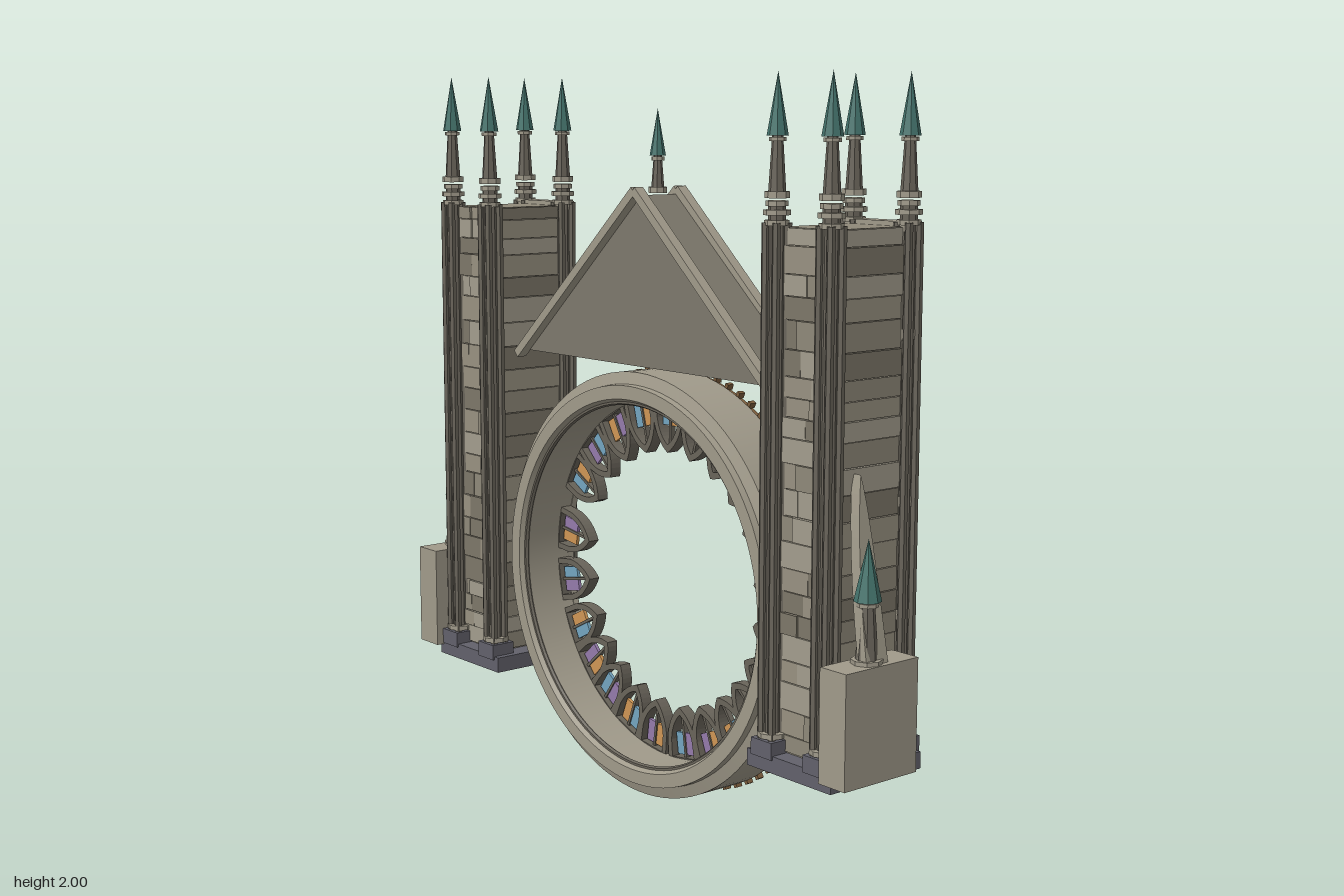
import * as THREE from 'three';
import { toCreasedNormals } from 'three/addons/utils/BufferGeometryUtils.js';

const paint = (color, extra = {}) => new THREE.MeshStandardMaterial({ color, flatShading: true, ...extra });
const STONES = [paint(0xa39d8d), paint(0x8f8979), paint(0x7d7769), paint(0x989181)];
const PALE = paint(0xa09a8a);
const RING = new THREE.MeshStandardMaterial({ color: 0xa09a8a });
const DARK = paint(0x69645a);
const GABLE = paint(0x7d786c);
const SLATE = paint(0x62616b);
const COPPER = paint(0x44736c);
const WOOD = paint(0x7a5c3c);
const VOID = paint(0x3b3d42);
const GLASS = [paint(0x74a5c0), paint(0xcf9655), paint(0x957bab)];

let seed = 7;
const rnd = () => (seed = (seed * 16807) % 2147483647) / 2147483647;

function add(parent, name, geo, mat, x = 0, y = 0, z = 0) {
  const m = new THREE.Mesh(geo, mat);
  m.name = name;
  m.position.set(x, y, z);
  parent.add(m);
  return m;
}

// Box given by its minimum and maximum corners
function block(parent, name, mat, x0, x1, y0, y1, z0, z1) {
  const geo = new THREE.BoxGeometry(Math.abs(x1 - x0), y1 - y0, Math.abs(z1 - z0));
  return add(parent, name, geo, mat, (x0 + x1) / 2, (y0 + y1) / 2, (z0 + z1) / 2);
}

const drum = (r0, r1, h, n = 8) => new THREE.CylinderGeometry(r1, r0, h, n);

// Tapered stone stem with a copper spike
function pinnacle(parent, x, y, z, stem, spike, r) {
  const g = new THREE.Group();
  g.name = 'pinnacle';
  g.position.set(x, y, z);
  add(g, 'pinnacleFoot', drum(r * 1.15, r * 1.15, 0.016), PALE, 0, 0.008, 0);
  add(g, 'pinnacleStem', drum(r * 0.85, r * 0.5, stem), DARK, 0, stem / 2, 0);
  add(g, 'pinnacleCollar', drum(r * 0.8, r * 0.8, 0.01), PALE, 0, stem - 0.008, 0);
  add(g, 'pinnacleSpike', new THREE.ConeGeometry(r, spike, 8), COPPER, 0, stem + spike / 2, 0);
  parent.add(g);
}

// Clustered corner shaft with base, rings and pinnacle
function cornerShaft(parent, x, z) {
  const g = new THREE.Group();
  g.name = 'cornerShaft';
  g.position.set(x, 0, z);
  block(g, 'shaftPlinth', SLATE, -0.038, 0.038, 0.285, 0.33, -0.038, 0.038);
  add(g, 'shaftCore', drum(0.022, 0.022, 1.36), DARK, 0, 1.0, 0);
  for (let i = 0; i < 4; i++) {
    const a = Math.PI / 4 + i * Math.PI / 2;
    add(g, 'colonnette', drum(0.011, 0.011, 1.31, 6), DARK, 0.027 * Math.cos(a), 0.98, 0.027 * Math.sin(a));
  }
  for (const [y, r] of [[0.34, 0.038], [1.635, 0.031], [1.66, 0.034], [1.682, 0.028]])
    add(g, 'shaftRing', drum(r, r, 0.013), PALE, 0, y, 0);
  parent.add(g);
  pinnacle(parent, x, 1.695, z, 0.15, 0.155, 0.027);
}

function tower(s) {
  const g = new THREE.Group();
  g.name = s > 0 ? 'leftTower' : 'rightTower';
  const X = 0.705 * s, zF = 0.115, zB = -0.135, top = 1.625;
  block(g, 'towerBase', SLATE, X - 0.152, X + 0.152, 0.25, 0.295, zB - 0.03, zF + 0.04);
  block(g, 'towerCore', STONES[1], X - 0.09, X + 0.09, 0.29, top, zB + 0.012, zF - 0.01);

  // Uneven stone courses on the front and both sides
  let y = 0.3;
  while (y < top - 0.01) {
    const y1 = Math.min(top, y + 0.045 + 0.03 * rnd());
    const split = (rnd() - 0.5) * 0.1;
    for (const [a, b] of [[-0.085, split], [split, 0.085]])
      block(g, 'frontStone', STONES[Math.floor(rnd() * 4)], X + a, X + b, y, y1 - 0.002, zF - 0.02, zF - 0.006 + 0.008 * rnd());
    for (const side of [-1, 1])
      block(g, 'sideCourse', STONES[Math.floor(rnd() * 4)], X + side * 0.08, X + side * (0.096 + 0.006 * rnd()), y, y1 - 0.002, zB + 0.015, zF - 0.012);
    y = y1;
  }

  // Back: four tiers of paired lancet openings between string courses
  const tiers = [0.33, 0.65, 0.94, 1.36, top];
  for (let i = 0; i < 4; i++) {
    const y0 = tiers[i] + 0.03, y1 = tiers[i + 1] - 0.02;
    block(g, 'windowRecess', VOID, X - 0.065, X + 0.065, y0, y1, zB + 0.015, zB + 0.004);
    for (const dx of [-0.063, -0.022, 0.022, 0.063])
      block(g, 'windowMullion', DARK, X + dx - 0.006, X + dx + 0.006, y0, y1, zB - 0.012, zB + 0.012);
    block(g, 'windowTransom', DARK, X - 0.065, X + 0.065, (y0 + y1) / 2 - 0.006, (y0 + y1) / 2 + 0.006, zB - 0.006, zB + 0.012);
  }
  for (const t of tiers)
    block(g, 'stringCourse', PALE, X - 0.115, X + 0.115, t - 0.012, t + 0.012, zB - 0.033, zB + 0.015);

  for (const x of [X - 0.095, X + 0.095])
    for (const z of [0.122, -0.142]) cornerShaft(g, x, z);

  // Outer buttress block, its pinnacle and the leaning fin
  block(g, 'buttressBlock', PALE, 0.84 * s, 0.93 * s, 0.28, 0.575, -0.07, 0.18);
  pinnacle(g, 0.888 * s, 0.57, 0.068, 0.16, 0.155, 0.035);
  const fin = new THREE.Shape();
  fin.moveTo(-0.02, 0.57);
  fin.lineTo(-0.095, 0.57);
  fin.quadraticCurveTo(-0.085, 0.85, -0.04, 1.03);
  fin.quadraticCurveTo(-0.022, 0.95, -0.02, 0.57);
  const finGeo = new THREE.ExtrudeGeometry(fin, { depth: 0.03, bevelEnabled: false, curveSegments: 8 });
  finGeo.translate(0, 0, -0.015).rotateY(Math.PI / 2);
  const p = finGeo.attributes.position;
  for (let i = 0; i < p.count; i++)
    p.setX(i, p.getX(i) + s * (0.9 - 0.085 * (p.getY(i) - 0.57) / 0.46));
  finGeo.computeVertexNormals();
  add(g, 'leaningFin', finGeo, PALE);
  return g;
}

// Turned ring lying in the xy plane, from a closed (radius, z) profile
function turned(profile) {
  const pts = [...profile, profile[0]].map(([r, z]) => new THREE.Vector2(r, z));
  return toCreasedNormals(new THREE.LatheGeometry(pts, 96).rotateX(Math.PI / 2), 0.5);
}

function archShape(w, h) {
  const sh = new THREE.Shape();
  sh.moveTo(-w, 0);
  sh.lineTo(w, 0);
  sh.lineTo(w * 0.95, h * 0.4);
  sh.quadraticCurveTo(w * 0.75, h * 0.8, 0, h);
  sh.quadraticCurveTo(-w * 0.75, h * 0.8, -w * 0.95, h * 0.4);
  sh.closePath();
  return sh;
}

function roseRing() {
  const g = new THREE.Group();
  g.name = 'roseRing';
  g.position.y = 0.605;
  add(g, 'ringBody', turned([[0.595, -0.08], [0.595, 0.065], [0.562, 0.075], [0.56, 0.095],
    [0.522, 0.095], [0.51, 0.075], [0.51, -0.08]]), RING);
  add(g, 'innerRoll', new THREE.TorusGeometry(0.512, 0.008, 6, 96), DARK, 0, 0, 0.075);
  add(g, 'backWoodBand', turned([[0.588, -0.1], [0.588, -0.075], [0.552, -0.075], [0.552, -0.1]]), WOOD);
  add(g, 'backStoneBand', turned([[0.54, -0.095], [0.54, -0.075], [0.508, -0.075], [0.508, -0.095]]), RING);
  const stud = new THREE.BoxGeometry(0.016, 0.012, 0.02);
  for (let i = 0; i < 76; i++) {
    const a = i / 76 * Math.PI * 2;
    add(g, 'rimStud', stud, WOOD, 0.596 * Math.cos(a), 0.596 * Math.sin(a), -0.095).rotation.z = a;
  }

  // Pointed glazed arches aimed at the centre
  const frame = archShape(0.064, 0.15);
  const hole = archShape(0.047, 0.122);
  frame.holes.push(new THREE.Path(hole.getPoints(8).map(q => new THREE.Vector2(q.x, q.y + 0.006))));
  const frameGeo = new THREE.ExtrudeGeometry(frame, { depth: 0.035, bevelEnabled: false, curveSegments: 8 });
  const half = [75, 60, 45, 30, 8, -10, -27, -41, -54, -68, -82];
  const angles = [90, ...half, ...half.map(a => 180 - a)];
  angles.forEach((deg, i) => {
    const a = THREE.MathUtils.degToRad(deg);
    const w = new THREE.Group();
    w.name = 'roseWindow';
    w.position.set(0.512 * Math.cos(a), 0.512 * Math.sin(a), -0.075);
    w.rotation.z = a + Math.PI / 2;
    add(w, 'archFrame', frameGeo, DARK);
    block(w, 'leftPane', GLASS[i % 3], 0.004, 0.036, 0.012, 0.075, 0.012, 0.022);
    block(w, 'rightPane', GLASS[(i + 1) % 3], -0.036, -0.004, 0.012, 0.075, 0.012, 0.022);
    block(w, 'paneBar', DARK, -0.004, 0.004, 0, 0.13, 0.01, 0.026);
    g.add(w);
  });
  return g;
}

function gable() {
  const g = new THREE.Group();
  g.name = 'gable';
  const tri = new THREE.Shape([[-0.53, 1.215], [0.53, 1.215], [0, 1.68]].map(q => new THREE.Vector2(...q)));
  add(g, 'gableWall', new THREE.ExtrudeGeometry(tri, { depth: 0.125, bevelEnabled: false }), GABLE, 0, 0, -0.07);
  // Raking copings on both faces
  const slope = Math.atan2(0.49, 0.545), len = Math.hypot(0.49, 0.545);
  for (const s of [-1, 1])
    for (const z of [0.068, -0.083]) {
      const c = add(g, 'coping', new THREE.BoxGeometry(len, 0.024, 0.03), PALE, s * 0.272, 1.448, z);
      c.rotation.z = -s * slope;
    }
  // Narrow barred windows on the back
  for (const x of [-0.2, 0, 0.2]) {
    block(g, 'gableWindowFrame', WOOD, x - 0.022, x + 0.022, 1.265, 1.43, -0.082, -0.065);
    for (const y of [1.275, 1.327, 1.379])
      block(g, 'gableWindowPane', VOID, x - 0.016, x + 0.016, y, y + 0.042, -0.086, -0.07);
  }
  pinnacle(g, 0, 1.685, -0.005, 0.1, 0.125, 0.022);
  return g;
}

export function createModel() {
  seed = 7;
  const model = new THREE.Group();
  model.name = 'gothicFacade';
  model.add(tower(1), tower(-1), roseRing(), gable());
  return model;
}
